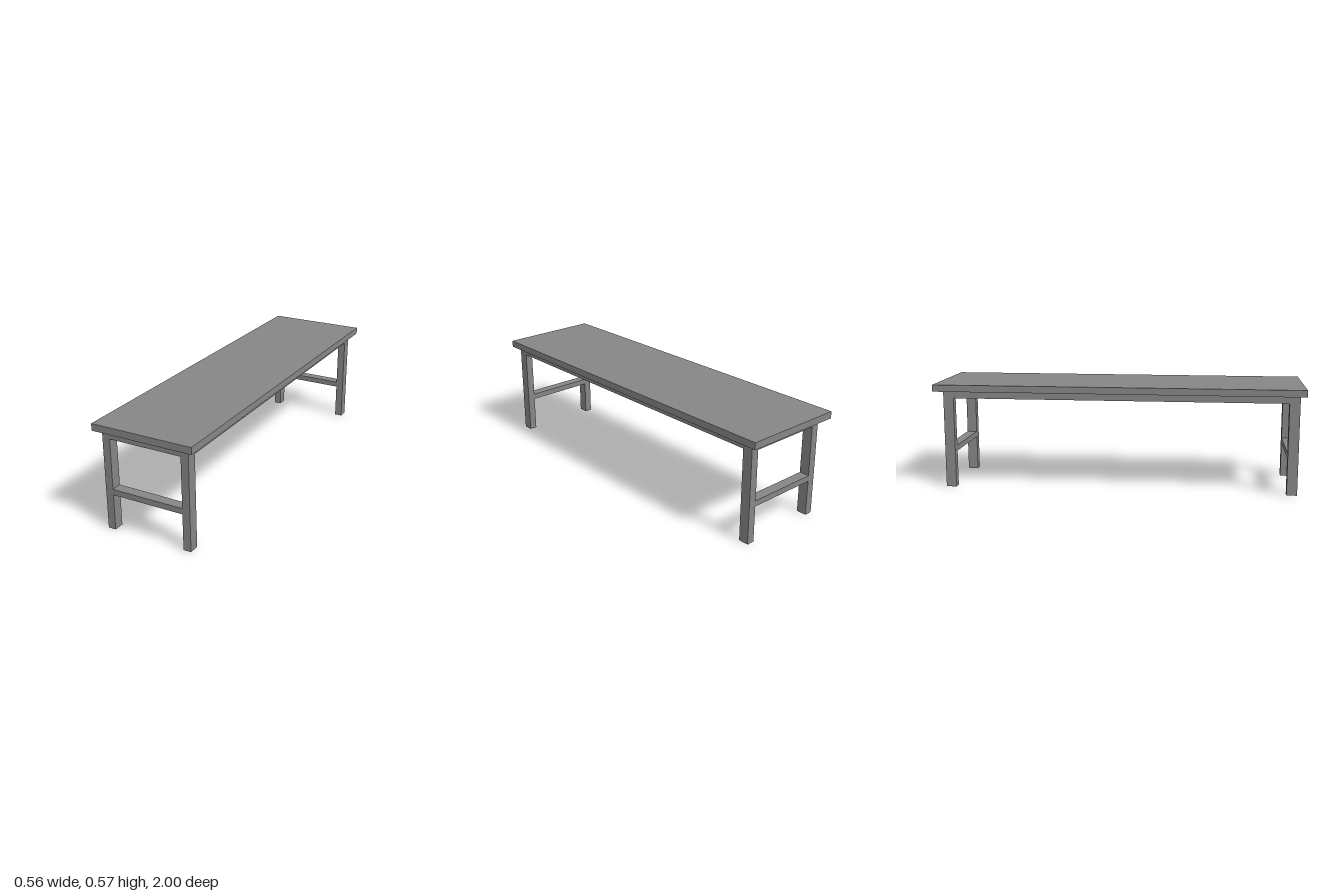
import * as THREE from 'three';

export function createModel() {
  const model = new THREE.Group();
  const material = new THREE.MeshStandardMaterial({ color: 0x868686 });

  // Box given by its [min, max] extent on each axis
  function addBox(name, [x0, x1], [y0, y1], [z0, z1]) {
    const mesh = new THREE.Mesh(new THREE.BoxGeometry(x1 - x0, y1 - y0, z1 - z0), material);
    mesh.position.set((x0 + x1) / 2, (y0 + y1) / 2, (z0 + z1) / 2);
    mesh.name = name;
    model.add(mesh);
  }

  const legInner = 0.199, legOuter = 0.241;
  const underside = 0.536;
  const apronHeight = [0.496, underside], stretcherHeight = [0.195, 0.226];
  const frontLeg = [0.913, 0.969], backLeg = [-0.951, -0.895];

  addBox('tabletop', [-0.278, 0.278], [underside, 0.573], [-1, 1]);

  // Legs and long side aprons, mirrored left and right
  for (const side of ['left', 'right']) {
    const width = side === 'left' ? [legInner, legOuter] : [-legOuter, -legInner];
    addBox(side + 'FrontLeg', width, [0, underside], frontLeg);
    addBox(side + 'BackLeg', width, [0, underside], backLeg);
    addBox(side + 'Apron', width, apronHeight, [backLeg[1], frontLeg[0]]);
  }

  // End aprons and low stretchers, as deep as the legs
  const between = [-legInner, legInner];
  for (const [end, depth] of [['front', frontLeg], ['back', backLeg]]) {
    addBox(end + 'Apron', between, apronHeight, depth);
    addBox(end + 'Stretcher', between, stretcherHeight, depth);
  }

  return model;
}
